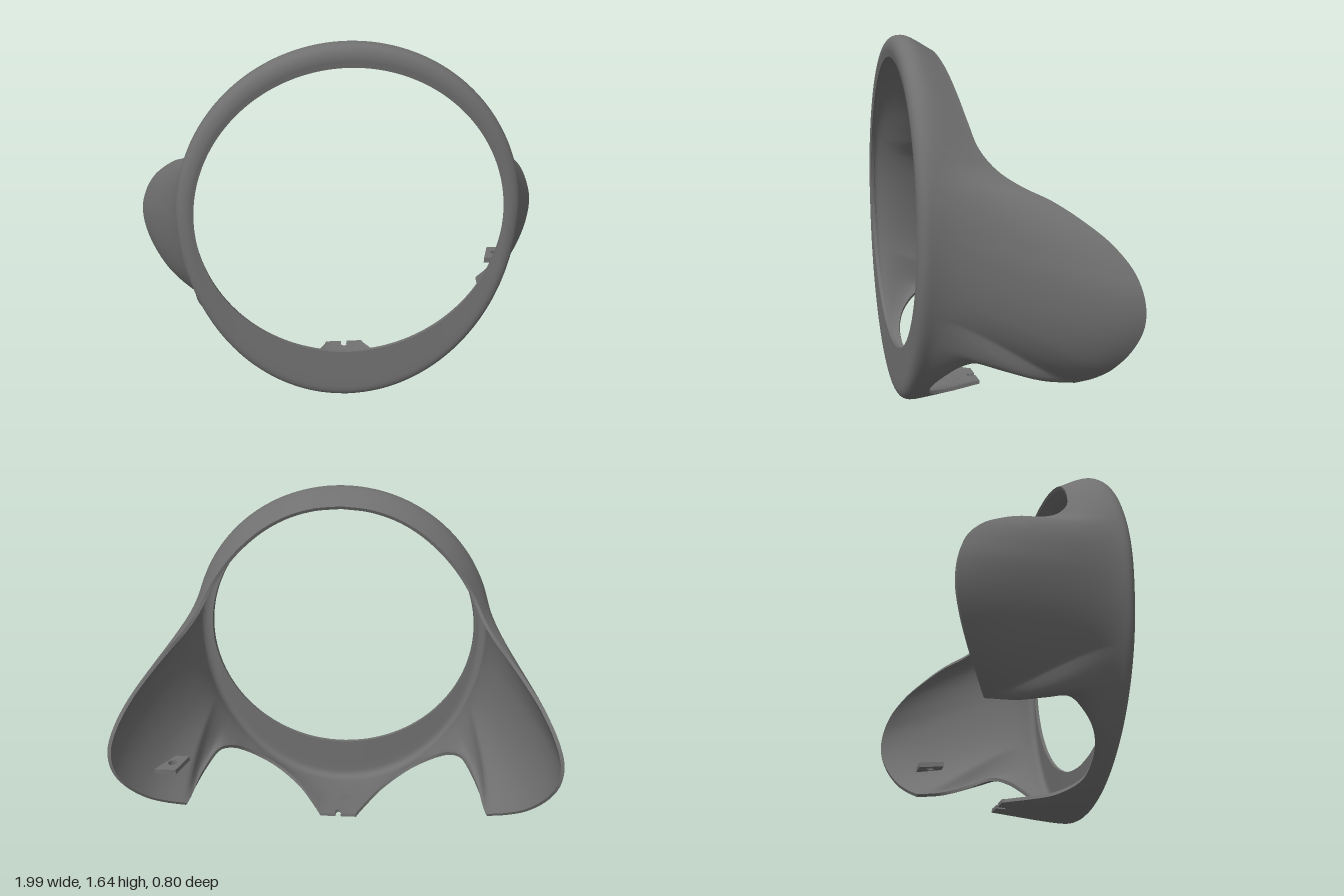
import * as THREE from 'three';
import { toCreasedNormals } from 'three/addons/utils/BufferGeometryUtils.js';

const THICK = 0.016;

// Back edge of the left half, each entry: [ring angle from top in degrees, x, y, z]
const UPPER_EDGE = [
  [0, 0, 1.585, 0.22], [11, 0.128, 1.572, 0.219], [22, 0.25, 1.535, 0.215], [33, 0.363, 1.474, 0.205],
  [45, 0.472, 1.384, 0.19], [56, 0.556, 1.288, 0.172], [66, 0.62, 1.19, 0.145],
  [72, 0.665, 1.11, 0.085], [75, 0.715, 1.05, 0], [78, 0.775, 1.0, -0.1], [82, 0.845, 0.93, -0.2],
  [86, 0.91, 0.85, -0.29], [90, 0.965, 0.75, -0.36], [94, 0.995, 0.65, -0.39], [98, 0.99, 0.55, -0.395],
  [103, 0.95, 0.45, -0.37], [108, 0.875, 0.35, -0.32], [111, 0.8, 0.292, -0.275], [114, 0.715, 0.247, -0.23],
];
const LOWER_EDGE = [
  [114, 0.715, 0.247, -0.23], [117, 0.695, 0.26, -0.1], [121, 0.66, 0.295, 0.02], [125, 0.61, 0.328, 0.13],
  [129, 0.56, 0.3, 0.2], [135, 0.51, 0.25, 0.255], [141, 0.45, 0.2, 0.285], [148, 0.38, 0.15, 0.295],
  [155, 0.3, 0.095, 0.28], [163, 0.205, 0.055, 0.2], [166, 0.143, 0.043, 0.1], [168, 0.113, 0.04, 0.045],
  [170, 0.09, 0.037, 0],
];
// Straight tab end with a small slot in the middle
const TAB_END = [
  [174, 0.05, 0.037, 0], [178.2, 0.013, 0.037, 0], [178.8, 0.013, 0.036, 0.025],
  [179.4, 0.008, 0.035, 0.036], [180, 0, 0.035, 0.04],
];

function sampleEdge(list, steps) {
  const edge = new THREE.CatmullRomCurve3(list.map(([, x, y, z]) => new THREE.Vector3(x, y, z)));
  const angle = new THREE.CatmullRomCurve3(list.map(([a]) => new THREE.Vector3(a, 0, 0)));
  const count = (list.length - 1) * steps;
  return Array.from({ length: count + 1 }, (_, i) => ({
    a: angle.getPoint(i / count).x, e: edge.getPoint(i / count),
  }));
}

// Section from the opening, over the rounded rim, to the back edge
function section({ a, e }) {
  const t = THREE.MathUtils.degToRad(a), s = Math.sin(t), c = Math.cos(t);
  const hole = new THREE.Vector3(0.65 * s, 0.898 + 0.651 * c, 0.395);
  const outer = new THREE.Vector3(0.726 * s, 0.9 + (c > 0 ? 0.743 : 0.898) * c, 0.345);
  const corner = outer.clone().setZ(0.4);
  const flat = hole.clone().setZ(0.4);
  const band = corner.distanceTo(flat);
  const start = corner.clone().lerp(flat, Math.min(0.06, band * 0.75) / band);
  const pts = [];
  for (let i = 0; i < 4; i++) pts.push(hole.clone().lerp(start, i / 4));
  pts.push(...new THREE.QuadraticBezierCurve3(start, corner, outer).getPoints(8));
  // The wings belly outward, most of all low down
  const belly = 0.075 * Math.exp(-(((a - 107) / 20) ** 2));
  const outward = new THREE.Vector3(s, c, 0);
  const lead = outer.clone().addScaledVector(outward, belly * 0.15);
  lead.z -= 0.25 * outer.distanceTo(e);
  const tail = outer.clone().lerp(e, 0.72).addScaledVector(outward, belly);
  pts.push(...new THREE.CubicBezierCurve3(outer, lead, tail, e).getPoints(20).slice(1));
  return pts;
}

function shellGeometry() {
  const half = [
    ...sampleEdge(UPPER_EDGE, 6),
    ...sampleEdge(LOWER_EDGE, 6).slice(1),
    ...TAB_END.map(([a, x, y, z]) => ({ a, e: new THREE.Vector3(x, y, z) })),
  ].map(section);
  const mirrored = half.slice(1, -1).reverse()
    .map((pts) => pts.map((p) => new THREE.Vector3(-p.x, p.y, p.z)));
  const rows = [...half, ...mirrored];
  const n = rows.length, m = rows[0].length;

  // Outer skin
  const index = [];
  const quad = (a, b, c, d) => index.push(a, b, c, b, d, c);
  for (let i = 0; i < n; i++) {
    const k = (i + 1) % n;
    for (let j = 0; j < m - 1; j++) quad(i * m + j, k * m + j, i * m + j + 1, k * m + j + 1);
  }
  const positions = rows.flat().flatMap((p) => [p.x, p.y, p.z]);
  const skin = new THREE.BufferGeometry();
  skin.setAttribute('position', new THREE.Float32BufferAttribute(positions, 3));
  skin.setIndex(index.slice());
  skin.computeVertexNormals();

  // Inner skin, offset along the normals, then the two rims joining them
  const normals = skin.attributes.normal.array;
  const inner = positions.map((v, i) => v - normals[i] * THICK);
  const off = n * m;
  const outerCount = index.length;
  for (let i = 0; i < outerCount; i += 3) index.push(index[i] + off, index[i + 2] + off, index[i + 1] + off);
  for (let i = 0; i < n; i++) {
    const p = i * m, q = ((i + 1) % n) * m;
    quad(p + off, q + off, p, q);
    quad(p + m - 1, q + m - 1, p + m - 1 + off, q + m - 1 + off);
  }
  const shell = new THREE.BufferGeometry();
  shell.setAttribute('position', new THREE.Float32BufferAttribute([...positions, ...inner], 3));
  shell.setIndex(index);
  return toCreasedNormals(shell, 0.7);
}

// Small horizontal lug with a screw hole, inside the left wing
function lugGeometry() {
  const shape = new THREE.Shape(
    [[0.75, 0.22], [0.71, 0.1], [0.775, 0.1], [0.85, 0.22]].map(([x, y]) => new THREE.Vector2(x, y)));
  const hole = new THREE.Path();
  hole.absarc(0.778, 0.16, 0.02, 0, Math.PI * 2, true);
  shape.holes.push(hole);
  const geometry = new THREE.ExtrudeGeometry(shape, { depth: 0.025, bevelEnabled: false, curveSegments: 16 });
  return geometry.rotateX(-Math.PI / 2).translate(0, 0.415, 0);
}

export function createModel() {
  const grey = new THREE.MeshStandardMaterial({ color: 0x707070 });
  grey.name = 'dark grey';
  const group = new THREE.Group();
  group.name = 'wingedRingCover';
  const add = (name, geometry) => {
    const mesh = new THREE.Mesh(geometry, grey);
    mesh.name = name;
    group.add(mesh);
  };
  add('ringShell', shellGeometry());
  add('screwLug', lugGeometry());
  return group;
}
